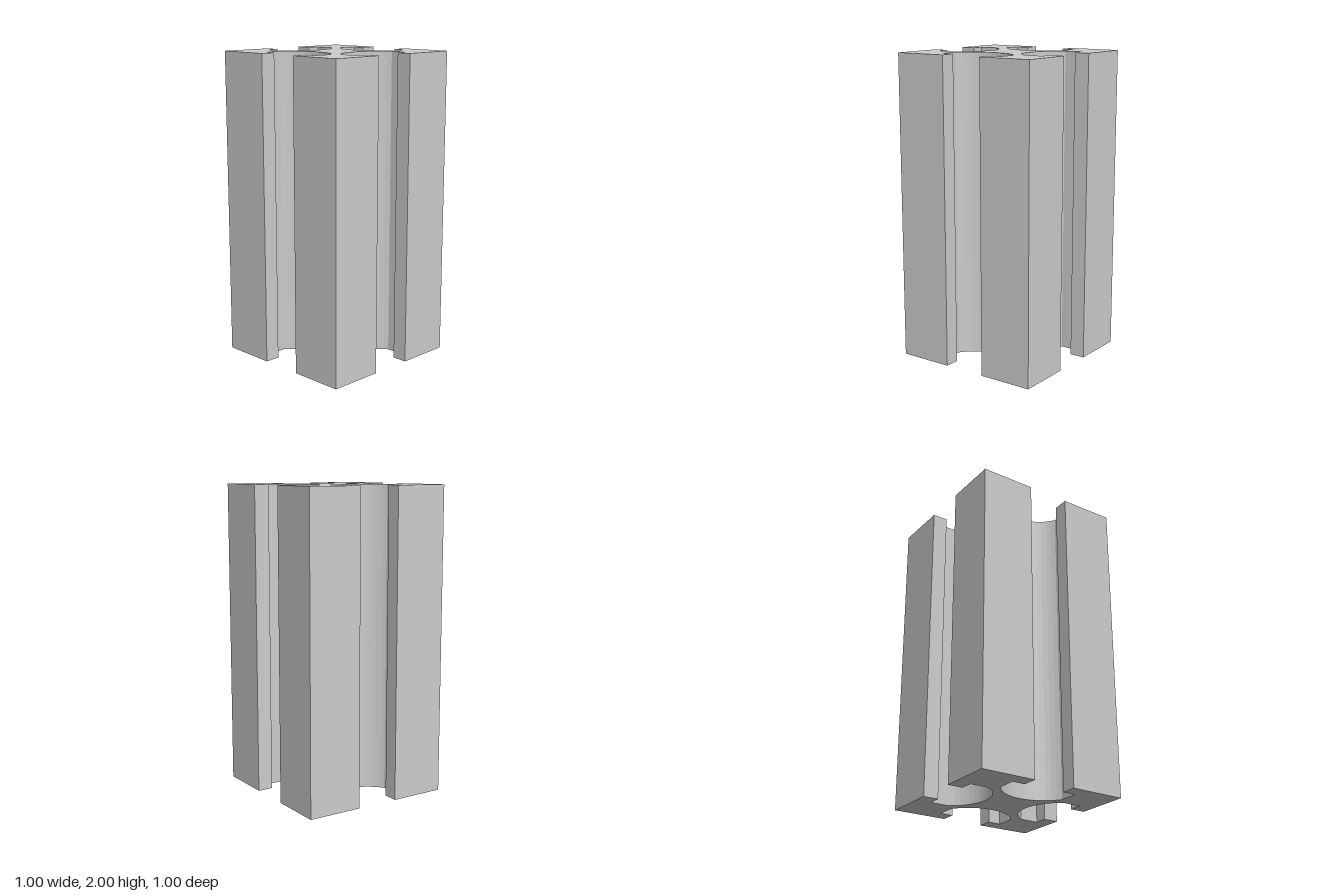
import * as THREE from 'three';

const LENGTH = 2;
const HALF = 0.5;          // half the outer width
const MOUTH = 0.14;        // half the slot opening
const POCKET = 0.225;      // half the width behind the lips
const LIP = 0.4;           // inner face of the lips
const SHOULDER = 0.275;    // where the rounded floor begins
const FLOOR = 0.15;        // deepest point of the slot
const ARC_STEPS = 16;

// One quarter of the outline: a corner followed by a T-slot with a rounded floor
function slotOutline() {
  const sag = SHOULDER - FLOOR;
  const radius = (POCKET ** 2 + sag ** 2) / (2 * sag);
  const halfAngle = Math.asin(POCKET / radius);
  const points = [[HALF, HALF], [MOUTH, HALF], [MOUTH, LIP], [POCKET, LIP]];
  for (let i = 0; i <= ARC_STEPS; i++) {
    const a = halfAngle * (1 - (2 * i) / ARC_STEPS);
    points.push([radius * Math.sin(a), FLOOR + radius * (1 - Math.cos(a))]);
  }
  points.push([-POCKET, LIP], [-MOUTH, LIP], [-MOUTH, HALF]);
  return points.map(([x, y]) => new THREE.Vector2(x, y));
}

export function createModel() {
  // Repeat the quarter outline around the centre
  const quarter = slotOutline();
  const outline = [];
  const origin = new THREE.Vector2();
  for (let side = 0; side < 4; side++) {
    for (const p of quarter) outline.push(p.clone().rotateAround(origin, side * Math.PI / 2));
  }

  // Extrude the section upward
  const geometry = new THREE.ExtrudeGeometry(new THREE.Shape(outline), {
    depth: LENGTH, bevelEnabled: false, steps: 1,
  });
  geometry.rotateX(-Math.PI / 2);

  const material = new THREE.MeshStandardMaterial({ color: 0xcccccc, flatShading: true });
  const rail = new THREE.Mesh(geometry, material);
  rail.name = 'slottedRail';

  const group = new THREE.Group();
  group.name = 'slottedProfile';
  group.add(rail);
  return group;
}
